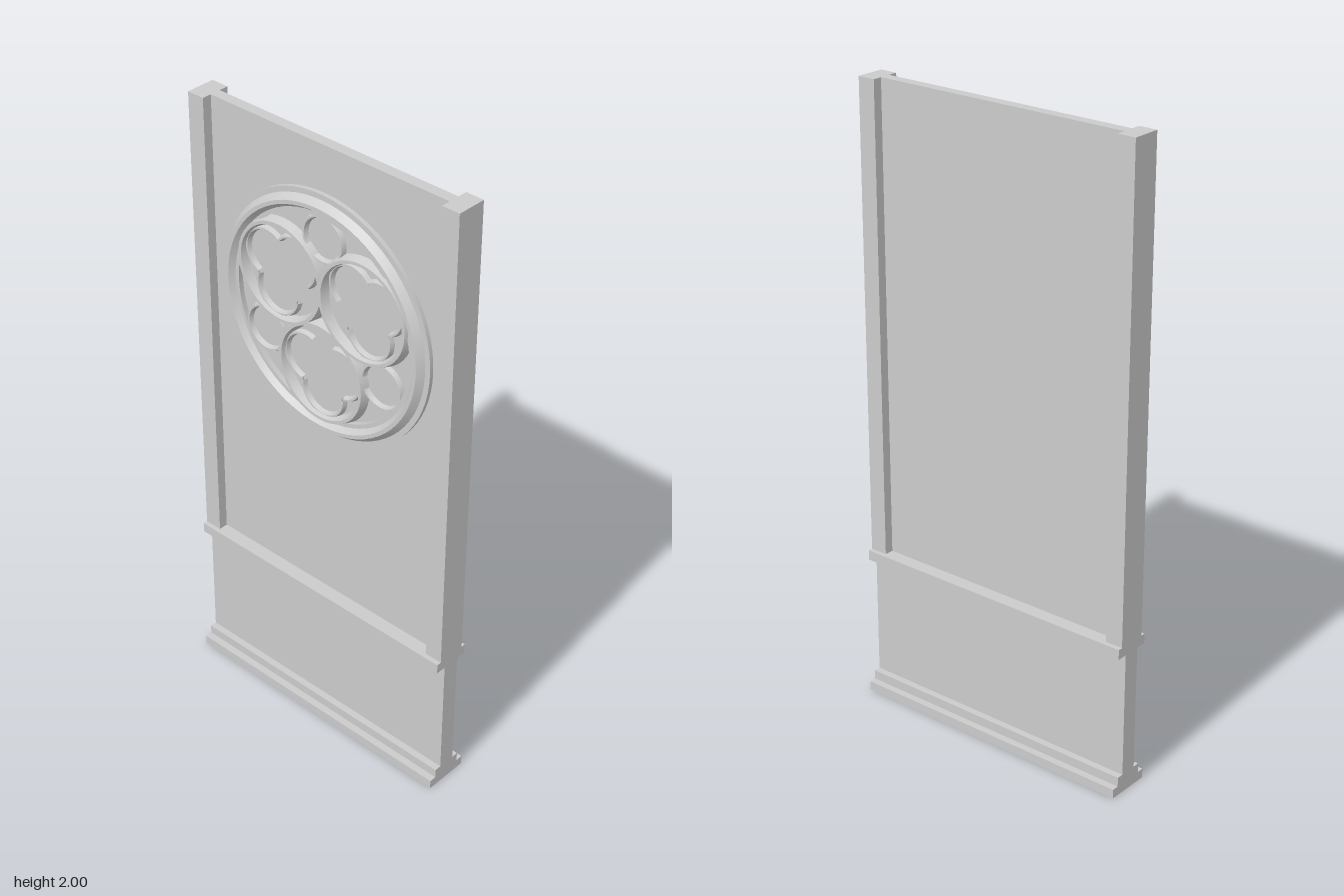
import * as THREE from 'three';
import { toCreasedNormals } from 'three/addons/utils/BufferGeometryUtils.js';

const material = new THREE.MeshStandardMaterial({ color: 0xcccccc, side: THREE.DoubleSide });
const rad = THREE.MathUtils.degToRad;

function add(parent, name, geometry) {
  const mesh = new THREE.Mesh(geometry, material);
  mesh.name = name;
  parent.add(mesh);
  return mesh;
}

// Moulding swept round the z axis; profile is [radius, height], angles in degrees from +x
function sweep(profile, segments, from = 0, span = 360) {
  const points = profile.map(([r, h]) => new THREE.Vector2(r, h));
  const g = new THREE.LatheGeometry(points, segments, rad(from + 90), rad(span));
  g.rotateX(Math.PI / 2);
  return toCreasedNormals(g, rad(25));
}

// Raised bar with chamfered sides
function bar(radius, halfWidth, height) {
  return [
    [radius + halfWidth, 0],
    [radius + halfWidth * 0.35, height],
    [radius - halfWidth * 0.35, height],
    [radius - halfWidth, 0],
  ];
}

function createMedallion() {
  const medallion = new THREE.Group();
  medallion.name = 'roundTracery';

  // Outer rim with a stepped, chamfered section
  add(medallion, 'outerRim', sweep([
    [0.393, 0], [0.393, 0.013], [0.376, 0.013], [0.36, 0.033],
    [0.348, 0.033], [0.335, 0.016], [0.322, 0.016], [0.322, 0],
  ], 72));

  const lobeDistance = 0.177, lobeRadius = 0.153;
  for (let i = 0; i < 3; i++) {
    // Three touching lobes
    const angle = 30 + i * 120;
    const lobe = new THREE.Group();
    lobe.name = 'lobe';
    lobe.position.set(Math.cos(rad(angle)) * lobeDistance, Math.sin(rad(angle)) * lobeDistance, 0);
    lobe.rotation.z = rad(angle);
    medallion.add(lobe);
    add(lobe, 'lobeRing', sweep(bar(lobeRadius, 0.014, 0.026), 48));

    // Small cusped foils inside each lobe
    for (const turn of [-105, 0, 105]) {
      const foil = add(lobe, 'foil', sweep(bar(0.077, 0.008, 0.014), 20, -95, 190));
      foil.position.set(Math.cos(rad(turn)) * 0.068, Math.sin(rad(turn)) * 0.068, 0);
      foil.rotation.z = rad(turn);
    }

    // Arcs filling the gaps between lobes and rim
    const gap = add(medallion, 'spandrelArc', sweep(bar(0.07, 0.008, 0.014), 28));
    gap.position.set(Math.cos(rad(angle + 60)) * 0.253, Math.sin(rad(angle + 60)) * 0.253, 0);
  }
  medallion.rotation.y = -Math.PI / 2;
  medallion.position.set(-0.017, 1.465, 0);
  return medallion;
}

export function createModel() {
  const model = new THREE.Group();
  model.name = 'wallPanel';
  const length = 0.97;

  // Stacked wall section: [name, thickness, bottom, top]
  const layers = [
    ['plinth', 0.146, 0, 0.03],
    ['plinthStep', 0.1, 0.03, 0.06],
    ['lowerWall', 0.056, 0.06, 0.465],
    ['rail', 0.124, 0.465, 0.497],
    ['upperPanel', 0.034, 0.497, 2],
  ];
  for (const [name, thickness, bottom, top] of layers) {
    const mesh = add(model, name, new THREE.BoxGeometry(thickness, top - bottom, length));
    mesh.position.y = (bottom + top) / 2;
  }

  // Posts at both ends of the upper panel
  for (const side of [-1, 1]) {
    const post = add(model, 'post', new THREE.BoxGeometry(0.094, 1.503, 0.058));
    post.position.set(0, 1.2485, side * (length / 2 - 0.029));
  }

  model.add(createMedallion());
  return model;
}
